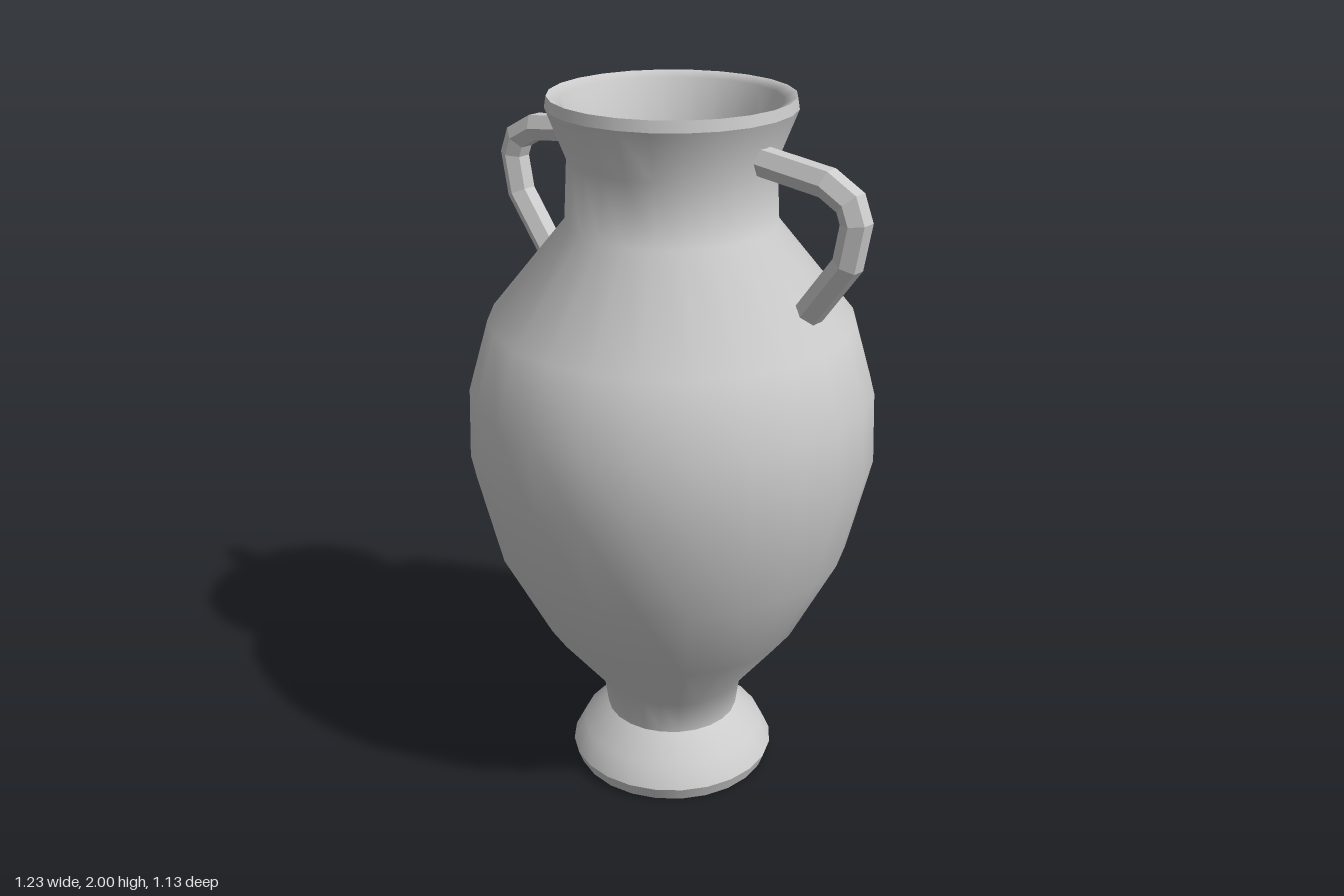
import * as THREE from 'three';

const SIDES = 24;
const smooth = new THREE.MeshStandardMaterial({ color: 0xcccccc });
const faceted = new THREE.MeshStandardMaterial({ color: 0xcccccc, flatShading: true });

// One smooth turned section; separate sections meet in hard edges
function turned(name, profile) {
  const points = profile.map(([r, y]) => new THREE.Vector2(r, y));
  const mesh = new THREE.Mesh(new THREE.LatheGeometry(points, SIDES), smooth);
  mesh.name = name;
  return mesh;
}

// Hexagonal bar swept along a path in the xy plane, with mitred bends and capped ends
function hexBar(path, radius) {
  const pts = path.map(([x, y]) => new THREE.Vector2(x, y));
  const pos = [], index = [], n = 6, last = pts.length - 1;
  pts.forEach((p, i) => {
    const into = p.clone().sub(pts[Math.max(i - 1, 0)]).normalize();
    const out = pts[Math.min(i + 1, last)].clone().sub(p).normalize();
    const dir = into.clone().add(out).normalize();
    const stretch = 1 / dir.dot(i < last ? out : into);
    for (let k = 0; k < n; k++) {
      const a = (k / n) * Math.PI * 2;
      const s = Math.sin(a) * radius * stretch;
      pos.push(p.x - dir.y * s, p.y + dir.x * s, Math.cos(a) * radius);
    }
  });
  for (let i = 0; i < last; i++) {
    for (let k = 0; k < n; k++) {
      const a = i * n + k, b = i * n + (k + 1) % n;
      index.push(a, a + n, b, b, a + n, b + n);
    }
  }
  const end = last * n;
  for (let k = 1; k < n - 1; k++) {
    index.push(0, k, k + 1, end, end + k + 1, end + k);
  }
  const geo = new THREE.BufferGeometry();
  geo.setAttribute('position', new THREE.Float32BufferAttribute(pos, 3));
  geo.setIndex(index);
  geo.computeVertexNormals();
  return geo;
}

export function createModel() {
  const model = new THREE.Group();
  model.name = 'amphora';

  // Foot
  const foot = new THREE.Group();
  foot.name = 'foot';
  foot.add(
    turned('footUnderside', [[0, 0], [0.285, 0]]),
    turned('footEdge', [[0.285, 0], [0.3, 0.04]]),
    turned('footFlare', [[0.3, 0.04], [0.267, 0.105], [0.193, 0.17]])
  );

  // Belly, shoulder and neck in one flowing curve
  const body = turned('body', [
    [0.193, 0.17], [0.207, 0.27], [0.37, 0.475], [0.502, 0.73], [0.567, 1.0],
    [0.56, 1.2], [0.502, 1.4], [0.287, 1.665], [0.278, 1.835], [0.331, 1.97],
  ]);

  // Rim with an inward-sloping lip, and shallow mouth
  const mouth = new THREE.Group();
  mouth.name = 'mouth';
  mouth.add(
    turned('rimEdge', [[0.331, 1.97], [0.326, 2]]),
    turned('mouthWall', [[0.326, 2], [0.292, 1.985], [0.25, 1.83], [0.242, 1.765]]),
    turned('mouthFloor', [[0.242, 1.765], [0, 1.765]])
  );
  model.add(foot, body, mouth);

  // Pair of handles
  const handleGeo = hexBar([
    [0.295, 1.868], [0.49, 1.845], [0.56, 1.807], [0.58, 1.757], [0.56, 1.65], [0.45, 1.5],
  ], 0.04);
  ['leftHandle', 'rightHandle'].forEach((name, i) => {
    const handle = new THREE.Mesh(handleGeo, faceted);
    handle.name = name;
    handle.rotation.y = i * Math.PI;
    model.add(handle);
  });

  return model;
}
